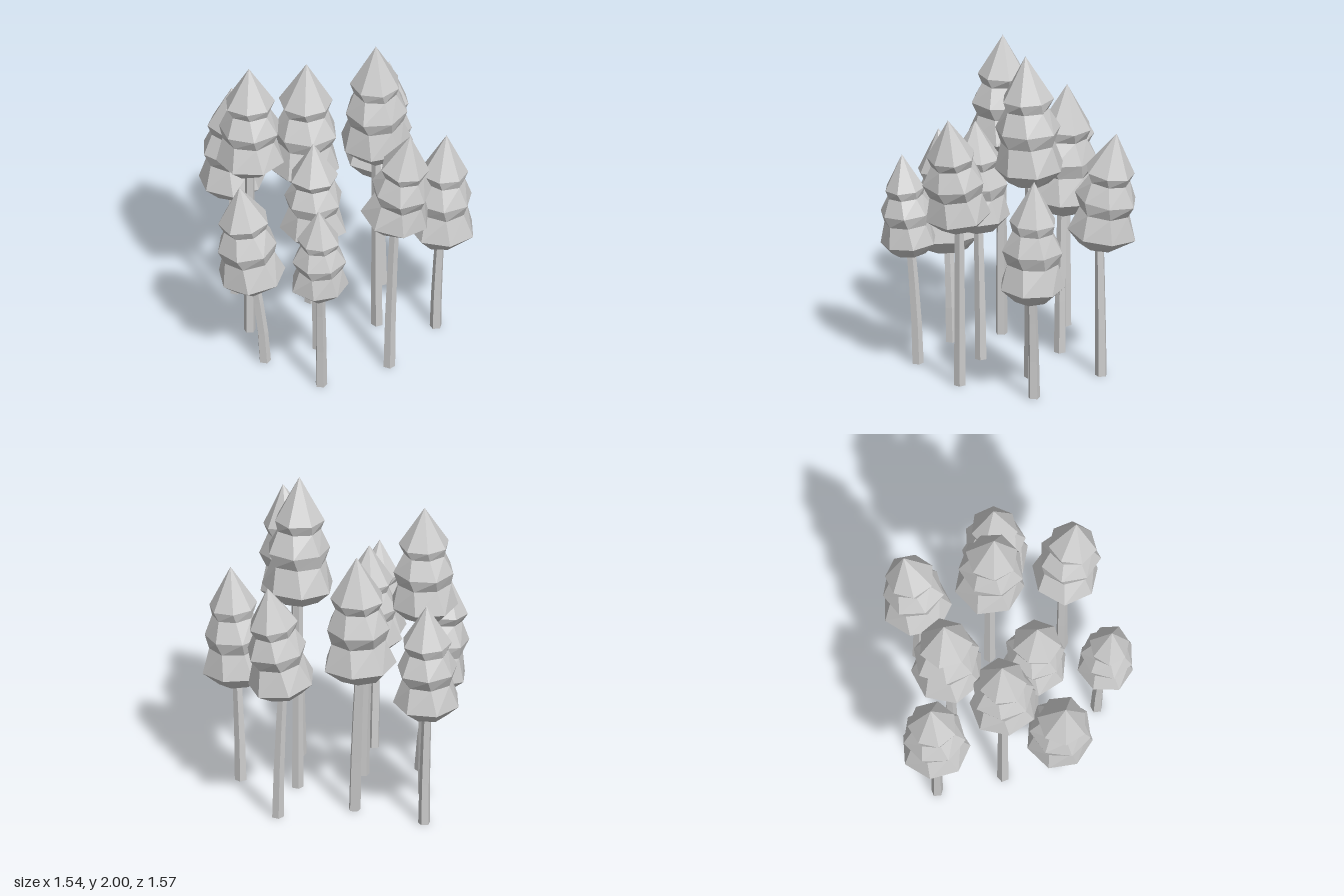
import * as THREE from 'three';

const material = new THREE.MeshStandardMaterial({ color: 0xcccccc, flatShading: true });

// One entry per tree: trunk foot [x, z], crown bottom [x, y, z], tip [x, y, z], crown radius
const TREES = [
  { foot: [-0.27, -0.565], low: [-0.285, 0.72, -0.58], tip: [-0.27, 1.43, -0.61], r: 0.2 },
  { foot: [0.055, -0.26], low: [0.035, 0.88, -0.295], tip: [0.06, 1.66, -0.31], r: 0.215 },
  { foot: [0.51, -0.2], low: [0.48, 0.81, -0.21], tip: [0.59, 1.52, -0.25], r: 0.2 },
  { foot: [-0.4, -0.19], low: [-0.4, 1.16, -0.19], tip: [-0.4, 1.86, -0.2], r: 0.2 },
  { foot: [-0.485, 0.12], low: [-0.55, 0.55, 0.09], tip: [-0.64, 1.275, 0.09], r: 0.2 },
  { foot: [-0.15, 0.17], low: [-0.18, 0.81, 0.165], tip: [-0.19, 1.475, 0.18], r: 0.195 },
  { foot: [0.27, 0.14], low: [0.265, 1.22, 0.14], tip: [0.25, 2.0, 0.16], r: 0.21 },
  { foot: [0.55, 0.34], low: [0.565, 0.63, 0.37], tip: [0.6, 1.37, 0.38], r: 0.195 },
  { foot: [-0.33, 0.5], low: [-0.36, 0.69, 0.535], tip: [-0.39, 1.3, 0.57], r: 0.17 },
  { foot: [0.11, 0.54], low: [0.135, 1.01, 0.565], tip: [0.17, 1.7, 0.68], r: 0.2 },
];

// Crown profile from bottom to tip: [fraction of height, fraction of radius]
const CROWN = [[0, 0.58], [0.11, 1], [0.31, 0.76], [0.42, 0.9], [0.58, 0.61], [0.66, 0.72], [1, 0]];

function seeded(seed) {
  let s = seed * 7919 + 17;
  return () => {
    s = (s * 16807) % 2147483647;
    return s / 2147483647;
  };
}

// Skin a closed-bottom surface over rings of equal point count
function loft(rings) {
  const n = rings[0].length;
  const pos = rings.flat().flatMap((p) => [p.x, p.y, p.z]);
  const index = [];
  for (let i = 0; i < rings.length - 1; i++) {
    for (let j = 0; j < n; j++) {
      const k = (j + 1) % n;
      const a = i * n + j, b = i * n + k, c = a + n, d = b + n;
      index.push(a, c, b, c, d, b);
    }
  }
  for (let j = 1; j < n - 1; j++) index.push(0, j, j + 1);
  const geometry = new THREE.BufferGeometry();
  geometry.setAttribute('position', new THREE.Float32BufferAttribute(pos, 3));
  geometry.setIndex(index);
  const flat = geometry.toNonIndexed();
  flat.computeVertexNormals();
  return flat;
}

// Ring around a centre, tilted by the lean of the axis
function ring(center, radius, sides, turn, lean, jitter) {
  return Array.from({ length: sides }, (_, j) => {
    const a = turn + (j / sides) * Math.PI * 2;
    const r = radius * jitter();
    const x = Math.cos(a) * r, z = Math.sin(a) * r;
    return new THREE.Vector3(center.x + x, center.y - lean.x * x - lean.z * z, center.z + z);
  });
}

function trunkGeometry(foot, low, turn) {
  const upright = new THREE.Vector3(0, 1, 0);
  const rings = [0, 0.33, 0.67, 1].map((t) => {
    const bend = t ** 1.5;
    const c = new THREE.Vector3(
      foot[0] + (low[0] - foot[0]) * bend,
      t * (low[1] + 0.08),
      foot[1] + (low[2] - foot[1]) * bend
    );
    return ring(c, 0.036 - 0.008 * t, 5, turn, { x: 0, z: 0 }, () => upright.y);
  });
  return loft(rings);
}

function crownGeometry(low, tip, radius, turn, random) {
  const base = new THREE.Vector3(...low);
  const top = new THREE.Vector3(...tip);
  const axis = top.clone().sub(base);
  const lean = { x: axis.x / axis.y, z: axis.z / axis.y };
  const rings = CROWN.map(([t, r], i) =>
    ring(base.clone().lerp(top, t), r * radius, 7, turn + i * 0.12, lean, () => 0.96 + 0.1 * random())
  );
  return loft(rings);
}

export function createModel() {
  const grove = new THREE.Group();
  grove.name = 'grove';
  TREES.forEach(({ foot, low, tip, r }, i) => {
    const random = seeded(i + 1);
    random();
    const turn = random() * Math.PI * 2;
    const tree = new THREE.Group();
    tree.name = `tree${i + 1}`;

    // Slender bent trunk
    const trunk = new THREE.Mesh(trunkGeometry(foot, low, turn), material);
    trunk.name = 'trunk';

    // Three-tiered faceted crown
    const crown = new THREE.Mesh(crownGeometry(low, tip, r, turn, random), material);
    crown.name = 'crown';

    tree.add(trunk, crown);
    grove.add(tree);
  });
  return grove;
}
